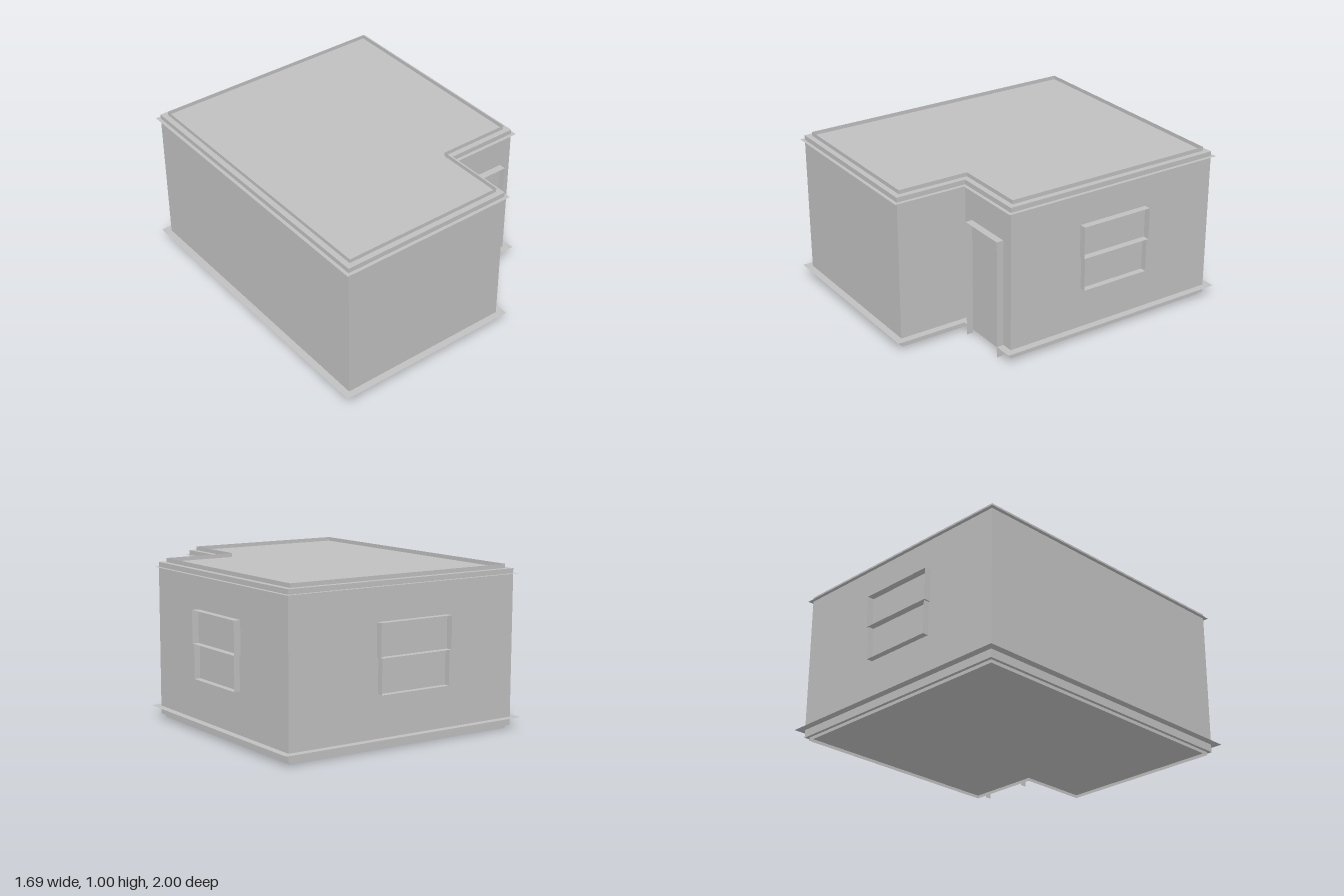
import * as THREE from 'three';

// L-shaped floor plan as [x, z] points, grown outward by d
const outline = (d) => [
  [-0.8 - d, -0.955 - d], [0.8 + d, -0.955 - d], [0.8 + d, 0.5 + d],
  [0.33 + d, 0.5 + d], [0.33 + d, 0.955 + d], [-0.8 - d, 0.955 + d],
];
const DOOR = { left: 0.4, right: 0.725, top: 0.745, wall: 0.5, depth: 0.045 };

export function createModel() {
  const model = new THREE.Group();
  const plaster = new THREE.MeshStandardMaterial({ color: 0xc0c0c0, side: THREE.DoubleSide });

  const add = (name, geometry, parent = model) => {
    const mesh = new THREE.Mesh(geometry, plaster);
    mesh.name = name;
    parent.add(mesh);
    return mesh;
  };

  // Flat-shaded sheet between two matching lines of [x, y, z] points
  const strip = (a, b) => {
    const pos = [];
    for (let i = 0; i < a.length - 1; i++) {
      pos.push(...a[i], ...a[i + 1], ...b[i + 1], ...a[i], ...b[i + 1], ...b[i]);
    }
    const g = new THREE.BufferGeometry();
    g.setAttribute('position', new THREE.Float32BufferAttribute(pos, 3));
    g.computeVertexNormals();
    return g;
  };
  const atHeight = (pts, y) => pts.map(([x, z]) => [x, y, z]);
  const closed = (pts) => [...pts, pts[0]];

  // Walls, floor and roof in one extruded block
  const plan = new THREE.Shape(outline(0).map(([x, z]) => new THREE.Vector2(x, -z)));
  const body = new THREE.ExtrudeGeometry(plan, { depth: 0.955, bevelEnabled: false });
  body.rotateX(-Math.PI / 2).translate(0, 0.02, 0);
  add('walls', body);

  // Thin upright rims above the roof and under the floor
  const rim = (name, inset, y0, y1) => {
    const line = closed(outline(-inset));
    add(name, strip(atHeight(line, y0), atHeight(line, y1)));
  };
  rim('roofRim', 0.035, 0.975, 1.0);
  rim('baseRim', 0.02, 0, 0.02);

  // Flat ledge around the top of the walls
  add('upperLedge', strip(atHeight(closed(outline(0)), 0.945), atHeight(closed(outline(0.022)), 0.945)));

  // Flat ledge around the foot of the walls, open at the door
  const aroundDoor = (d) => {
    const p = outline(d);
    return [[DOOR.left, 0.5 + d], ...p.slice(3), ...p.slice(0, 3), [DOOR.right, 0.5 + d]];
  };
  add('lowerLedge', strip(atHeight(aroundDoor(0), 0.07), atHeight(aroundDoor(0.045), 0.07)));

  // Door surround: two jambs and a lintel standing out from the wall
  const doorLine = (z) => [
    [DOOR.left, 0, z], [DOOR.left, DOOR.top, z], [DOOR.right, DOOR.top, z], [DOOR.right, 0, z],
  ];
  add('doorFrame', strip(doorLine(DOOR.wall), doorLine(DOOR.wall + DOOR.depth)));

  // Sash window facing local +z: a wider upper frame over a lower one
  const makeWindow = (name, width) => {
    const group = new THREE.Group();
    group.name = name;
    const frame = (part, w, y0, y1, depth) => {
      const line = (z) => closed([[-w / 2, y0, z], [w / 2, y0, z], [w / 2, y1, z], [-w / 2, y1, z]]);
      add(part, strip(line(0), line(depth)), group);
    };
    frame('upperSash', width, 0.54, 0.742, 0.043);
    frame('lowerSash', width - 0.02, 0.328, 0.54, 0.038);
    model.add(group);
    return group;
  };
  const rightWindow = makeWindow('sideWindow', 0.475);
  rightWindow.position.set(0.8, 0, -0.222);
  rightWindow.rotation.y = Math.PI / 2;
  const backWindow = makeWindow('backWindow', 0.505);
  backWindow.position.set(-0.047, 0, -0.955);
  backWindow.rotation.y = Math.PI;

  return model;
}
